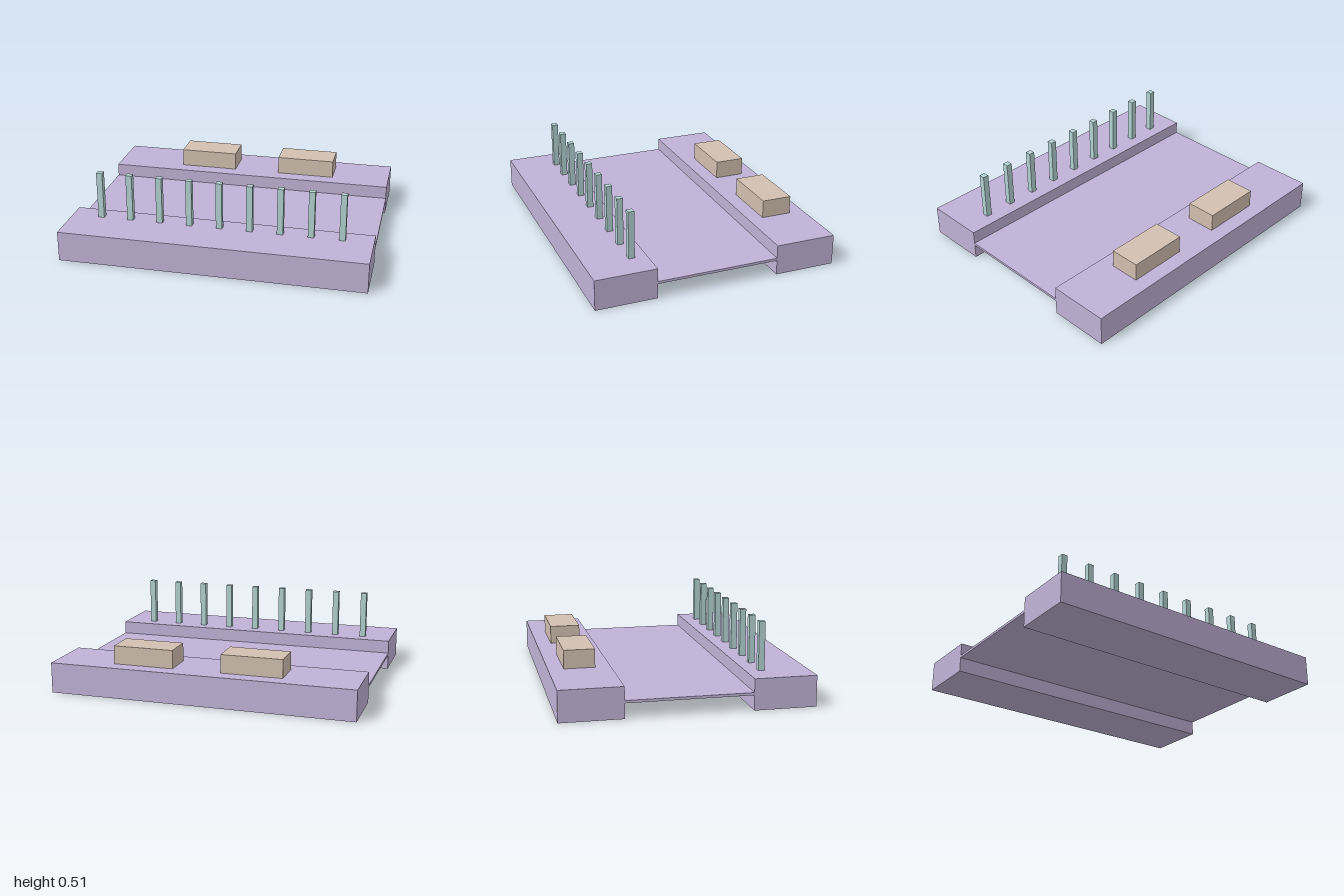
import * as THREE from 'three';

export function createModel() {
  const group = new THREE.Group();
  const material = (color) => new THREE.MeshStandardMaterial({ color, flatShading: true });
  const lilac = material(0xc0b2d6);
  const tan = material(0xd2bfb0);
  const teal = material(0xb3d3d3);

  // Box of the given size resting on height y
  function addBox(name, mat, [w, h, d], [x, y, z]) {
    const mesh = new THREE.Mesh(new THREE.BoxGeometry(w, h, d), mat);
    mesh.name = name;
    mesh.position.set(x, y + h / 2, z);
    group.add(mesh);
  }

  // Two raised platforms joined by a thin sunken deck
  addBox('frontPlatform', lilac, [2, 0.2, 0.4], [0, 0, 0.6]);
  addBox('backPlatform', lilac, [2, 0.2, 0.4], [0, 0, -0.6]);
  addBox('sunkenDeck', lilac, [2, 0.017, 0.8], [0, 0.097, 0]);

  // Benches on the back platform
  addBox('rightBench', tan, [0.4, 0.12, 0.2], [-0.32, 0.2, -0.6]);
  addBox('leftBench', tan, [0.4, 0.12, 0.2], [0.4, 0.2, -0.6]);

  // Row of posts along the front platform
  for (let i = 0; i < 9; i++) {
    addBox(`post${i + 1}`, teal, [0.04, 0.313, 0.04], [-0.8 + i * 0.2, 0.2, 0.5]);
  }

  return group;
}
